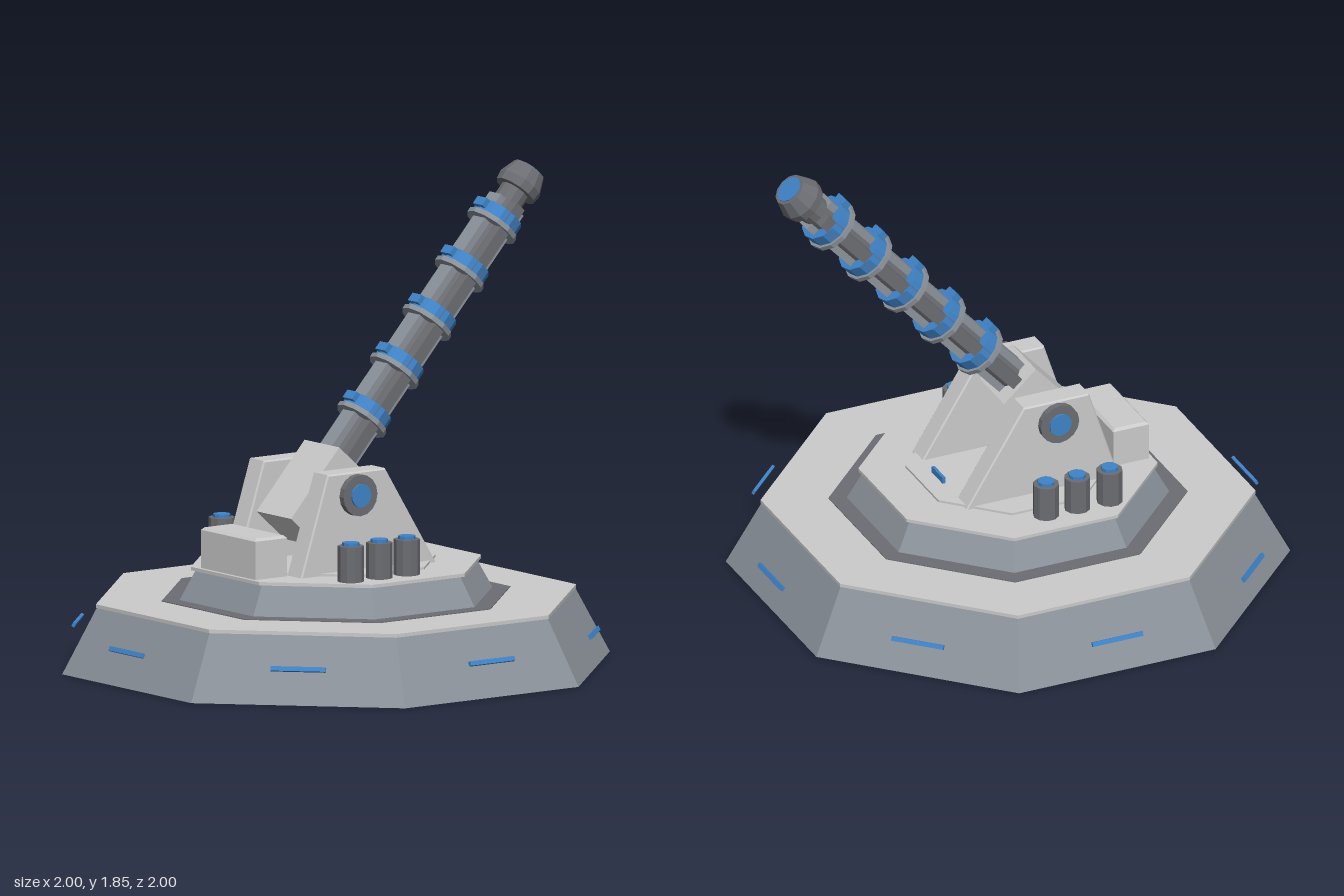
import * as THREE from 'three';

const paint = (color) => new THREE.MeshStandardMaterial({ color, flatShading: true });

export function createModel() {
  const model = new THREE.Group();
  const grey = paint(0xcccccc);
  const tinted = paint(0x8c939b);
  const dark = paint(0x6c6d72);
  const blue = paint(0x3f84c8);

  function add(parent, name, geometry, material, x = 0, y = 0, z = 0) {
    const mesh = new THREE.Mesh(geometry, material);
    mesh.name = name;
    mesh.position.set(x, y, z);
    parent.add(mesh);
    return mesh;
  }

  // Eight-sided tier with flat sides facing the axes; sizes are centre to flat
  function tier(name, bottom, top, y0, y1, material) {
    const k = 1 / Math.cos(Math.PI / 8);
    const g = new THREE.CylinderGeometry(top * k, bottom * k, y1 - y0, 8).rotateY(Math.PI / 8);
    return add(model, name, g, material, 0, (y0 + y1) / 2, 0);
  }

  // Stepped base
  tier('lowerBase', 0.99, 0.865, 0, 0.25, tinted);
  tier('lowerDeck', 0.868, 0.868, 0.25, 0.264, grey);
  tier('deckRing', 0.63, 0.63, 0.25, 0.267, dark);
  tier('upperBase', 0.567, 0.507, 0.264, 0.38, tinted);
  tier('upperDeck', 0.525, 0.525, 0.38, 0.393, grey);
  tier('turntable', 0.36, 0.36, 0.39, 0.402, grey);

  // Light strips floating off each side of the base
  for (let i = 0; i < 8; i++) {
    const pivot = new THREE.Group();
    pivot.name = 'baseLight';
    pivot.rotation.y = (i * Math.PI) / 4;
    const strip = add(pivot, 'lightStrip', new THREE.BoxGeometry(0.21, 0.018, 0.012), blue, 0, 0.14, 0.99);
    strip.rotation.x = -0.46;
    model.add(pivot);
  }
  add(model, 'rearLight', new THREE.BoxGeometry(0.1, 0.025, 0.012), blue, 0, 0.42, -0.29);

  // Control box with a bevelled lid edge
  const boxShape = new THREE.Shape([
    [-0.163, -0.065], [0.163, -0.065], [0.163, 0.065], [-0.163, 0.065],
  ].map(([x, y]) => new THREE.Vector2(x, y)));
  const boxGeometry = new THREE.ExtrudeGeometry(boxShape, {
    depth: 0.15, bevelThickness: 0.01, bevelSize: 0.01, bevelSegments: 1,
  }).rotateX(-Math.PI / 2);
  add(model, 'controlBox', boxGeometry, grey, 0, 0.39, 0.435);

  // Side supports, pivot caps and canisters, mirrored
  const supportShape = new THREE.Shape([
    [0.345, 0.39], [0.22, 0.772], [-0.045, 0.772], [-0.285, 0.39],
  ].map(([z, y]) => new THREE.Vector2(z, y)));
  const supportGeometry = new THREE.ExtrudeGeometry(supportShape, {
    depth: 0.083, bevelThickness: 0.006, bevelSize: 0.006, bevelSegments: 1,
  }).translate(0, 0, -0.0415).rotateY(-Math.PI / 2);
  const disc = (r, length, sides) => new THREE.CylinderGeometry(r, r, length, sides).rotateZ(Math.PI / 2);

  for (const side of [-1, 1]) {
    add(model, 'support', supportGeometry, grey, side * 0.203, 0, 0);
    add(model, 'pivotCap', disc(0.08, 0.03, 16), dark, side * 0.262, 0.69, 0.09);
    add(model, 'pivotLight', disc(0.045, 0.02, 16), blue, side * 0.275, 0.69, 0.09);
    for (const z of [-0.03, 0.1, 0.235]) {
      add(model, 'canister', new THREE.CylinderGeometry(0.05, 0.05, 0.14, 10), dark, side * 0.41, 0.46, z);
      add(model, 'canisterCap', new THREE.CylinderGeometry(0.033, 0.033, 0.016, 10), blue, side * 0.41, 0.535, z);
    }
  }

  // Gun, built upright on its pivot and leaned back
  const gun = new THREE.Group();
  gun.name = 'gun';
  gun.position.set(0, 0.69, 0.09);
  gun.rotation.x = THREE.MathUtils.degToRad(-42);
  model.add(gun);
  const round = (name, rTop, rBottom, s0, s1, material) => add(gun, name,
    new THREE.CylinderGeometry(rTop, rBottom, s1 - s0, 12), material, 0, (s0 + s1) / 2, 0);

  add(gun, 'pivotAxle', disc(0.05, 0.4, 12), dark);
  add(gun, 'breech', new THREE.BoxGeometry(0.22, 0.34, 0.18), grey, 0, -0.035, 0);
  round('barrel', 0.058, 0.058, 0.1, 1.43, dark);

  // Rails along the barrel
  for (const side of [-1, 1]) {
    add(gun, 'sideRail', new THREE.BoxGeometry(0.04, 1.22, 0.05), dark, side * 0.07, 0.73, 0);
    add(gun, 'faceRail', new THREE.BoxGeometry(0.075, 1.22, 0.03), tinted, 0, 0.73, side * 0.056);
  }

  // Coil rings
  for (let i = 0; i < 5; i++) {
    const s = 0.342 + i * 0.23;
    round('coilFlange', 0.107, 0.107, s - 0.036, s - 0.016, tinted);
    round('coil', 0.096, 0.096, s - 0.016, s + 0.034, blue);
    add(gun, 'coilTab', new THREE.BoxGeometry(0.06, 0.035, 0.02), blue, 0, s + 0.012, 0.1);
  }

  // Muzzle
  round('muzzleCollar', 0.09, 0.085, 1.4, 1.435, dark);
  round('muzzle', 0.066, 0.09, 1.435, 1.5, dark);
  round('muzzleLight', 0.054, 0.054, 1.495, 1.504, blue);

  return model;
}
